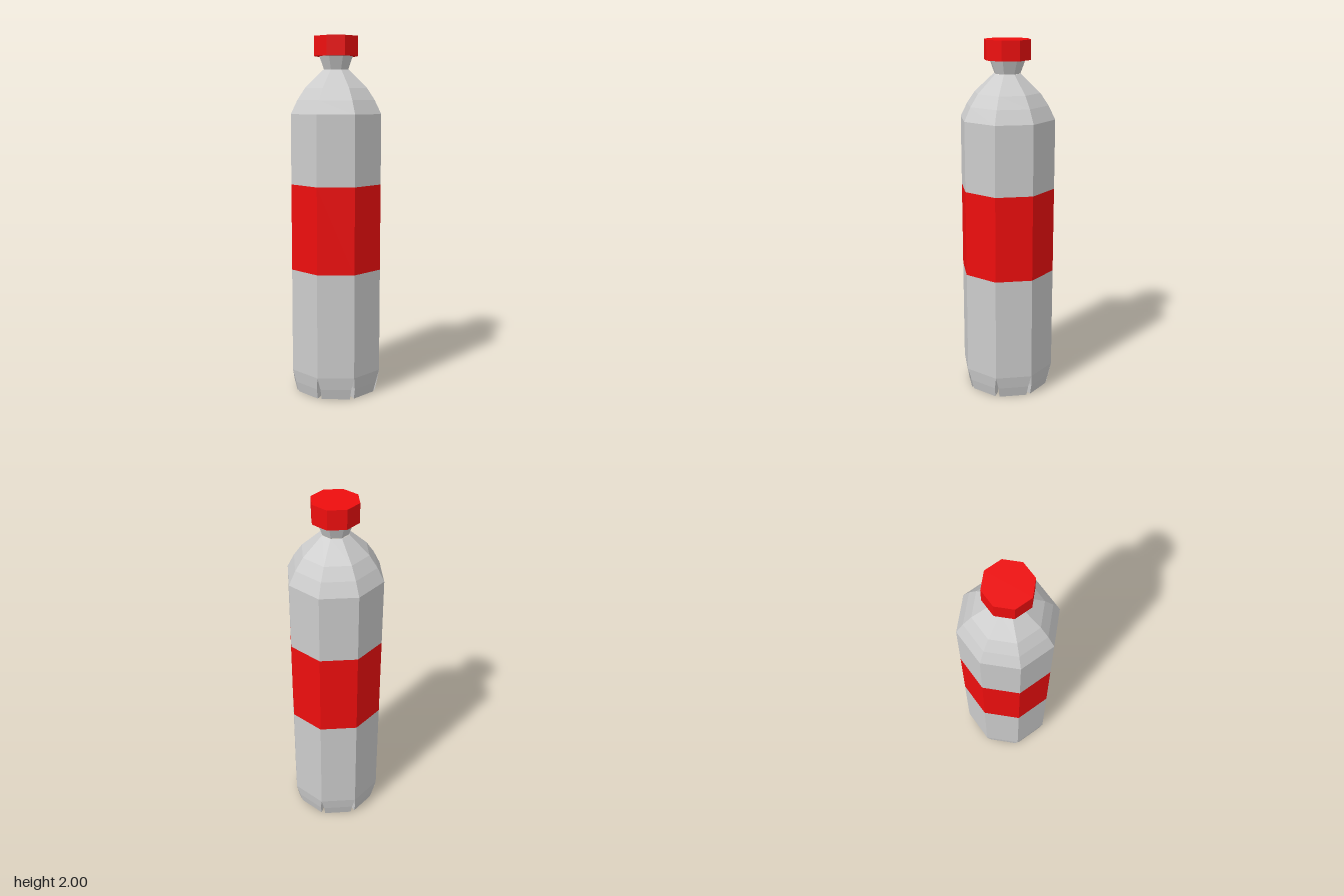
import * as THREE from 'three';

const SIDES = 8;
const R = 0.266;
const grey = new THREE.MeshStandardMaterial({ color: 0xcccccc, flatShading: true });
const red = new THREE.MeshStandardMaterial({ color: 0xee0e0e, flatShading: true });

// Eight-sided ring of faces from a bottom-to-top list of [radius, height]
function ring(name, profile, material) {
  const points = profile.map(([r, y]) => new THREE.Vector2(r, y));
  const mesh = new THREE.Mesh(new THREE.LatheGeometry(points, SIDES), material);
  mesh.name = name;
  return mesh;
}

// One foot under one side panel, lofted through levels of
// height, outer radius, inner radius and half width of the slit at the corners
function footGeometry() {
  const levels = [
    { y: 0, outer: 0.24, inner: 0.18, gap: 0.012 },
    { y: 0.06, outer: 0.255, inner: 0.17, gap: 0.011 },
    { y: 0.13, outer: R, inner: 0.15, gap: 0 },
  ];
  const half = Math.PI / SIDES;
  const positions = [];
  for (const { y, outer, inner, gap } of levels) {
    // The panel faces +z; corners are pulled in along the panel by the slit
    const zOut = outer * Math.cos(half), zIn = inner * Math.cos(half);
    const shift = gap / Math.cos(half);
    const xOut = outer * Math.sin(half) - shift, xIn = inner * Math.sin(half) - shift;
    positions.push(-xOut, y, zOut, xOut, y, zOut, xIn, y, zIn, -xIn, y, zIn);
  }
  const index = [0, 3, 2, 0, 2, 1]; // sole
  for (let l = 0; l < levels.length - 1; l++) {
    for (let i = 0; i < 4; i++) {
      const a = l * 4 + i, b = l * 4 + (i + 1) % 4;
      index.push(a, b, b + 4, a, b + 4, a + 4);
    }
  }
  const geometry = new THREE.BufferGeometry();
  geometry.setAttribute('position', new THREE.Float32BufferAttribute(positions, 3));
  geometry.setIndex(index);
  geometry.computeVertexNormals();
  return geometry;
}

export function createModel() {
  const bottle = new THREE.Group();
  bottle.name = 'bottle';

  // Body, with the label flush in the wall
  bottle.add(ring('lowerBody', [[R, 0.13], [R, 0.715]], grey));
  bottle.add(ring('label', [[R, 0.715], [R, 1.195]], red));
  bottle.add(ring('upperBody', [[R, 1.195], [R, 1.58]], grey));
  bottle.add(ring('shoulder', [[R, 1.58], [0.228, 1.655], [0.183, 1.72], [0.075, 1.82]], grey));
  bottle.add(ring('neck', [[0.072, 1.82], [0.1, 1.895]], grey));

  // Screw cap
  const cap = new THREE.Mesh(new THREE.CylinderGeometry(0.129, 0.129, 0.107, SIDES), red);
  cap.name = 'cap';
  cap.position.y = 1.9465;
  bottle.add(cap);

  // Recessed underside between the feet
  const underside = new THREE.Mesh(new THREE.CircleGeometry(0.15, SIDES), grey);
  underside.name = 'underside';
  underside.rotation.x = Math.PI / 2;
  underside.position.y = 0.13;
  bottle.add(underside);

  // Feet, one per side panel
  const feet = new THREE.Group();
  feet.name = 'feet';
  const geometry = footGeometry();
  for (let i = 0; i < SIDES; i++) {
    const foot = new THREE.Mesh(geometry, grey);
    foot.name = 'foot';
    foot.rotation.y = (i + 0.5) * Math.PI * 2 / SIDES;
    feet.add(foot);
  }
  bottle.add(feet);

  return bottle;
}
